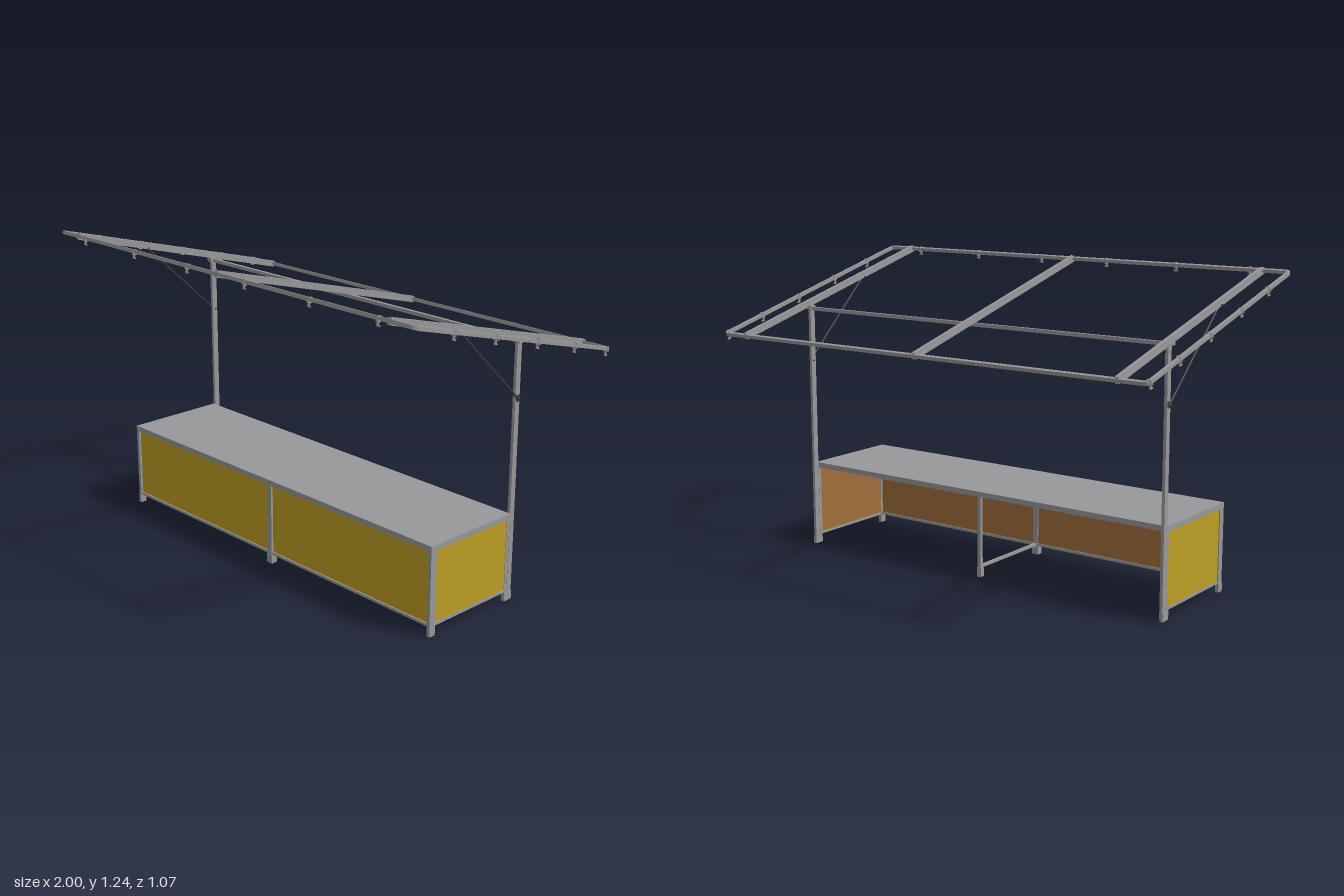
import * as THREE from 'three';

const mat = (name, color) => new THREE.MeshStandardMaterial({ name, color });

export function createModel() {
  const metal = mat('grey metal', 0x98989a);
  const dark = mat('dark steel', 0x3c3c3e);
  const yellow = mat('yellow panel', 0xbc9e25);
  const brown = mat('brown panel back', 0xa06e3a);
  const copper = mat('copper bolt', 0xb0703a);

  const model = new THREE.Group();
  model.name = 'marketStall';

  const add = (parent, name, geometry, material) => {
    const mesh = new THREE.Mesh(geometry, material);
    mesh.name = name;
    parent.add(mesh);
    return mesh;
  };
  // Box given by its limits on each axis
  const box = (parent, name, material, [x0, x1], [y0, y1], [z0, z1]) => {
    const mesh = add(parent, name, new THREE.BoxGeometry(Math.abs(x1 - x0), y1 - y0, z1 - z0), material);
    mesh.position.set((x0 + x1) / 2, (y0 + y1) / 2, (z0 + z1) / 2);
    return mesh;
  };
  // Thin rod between two points
  const rod = (parent, name, material, a, b, radius) => {
    const from = new THREE.Vector3(...a), to = new THREE.Vector3(...b);
    const dir = to.clone().sub(from);
    const mesh = add(parent, name, new THREE.CylinderGeometry(radius, radius, dir.length(), 10), material);
    mesh.position.copy(from).add(to).multiplyScalar(0.5);
    mesh.quaternion.setFromUnitVectors(new THREE.Vector3(0, 1, 0), dir.normalize());
    return mesh;
  };

  // ---- Counter ----
  const counter = new THREE.Group();
  counter.name = 'counter';
  model.add(counter);

  box(counter, 'counterTop', metal, [-0.864, 0.864], [0.346, 0.355], [-0.15, 0.28]);
  box(counter, 'frontTopRail', metal, [-0.86, 0.86], [0.333, 0.346], [0.258, 0.278]);
  box(counter, 'backTopRail', metal, [-0.86, 0.86], [0.333, 0.346], [-0.148, -0.134]);
  box(counter, 'middleTopRail', metal, [-0.86, 0.86], [0.335, 0.346], [0.055, 0.068]);
  box(counter, 'frontBottomRail', metal, [-0.86, 0.86], [0.036, 0.047], [0.258, 0.276]);

  // Middle frame
  box(counter, 'middleFrontLeg', metal, [-0.012, 0.012], [0.015, 0.346], [0.258, 0.279]);
  box(counter, 'middleBackLeg', metal, [-0.008, 0.008], [0.015, 0.346], [-0.134, -0.12]);
  box(counter, 'middleTopBar', metal, [-0.006, 0.006], [0.334, 0.346], [-0.12, 0.258]);
  box(counter, 'middleBottomBar', metal, [-0.006, 0.006], [0.036, 0.047], [-0.12, 0.258]);
  box(counter, 'middleFrontFoot', metal, [-0.015, 0.015], [0, 0.036], [0.255, 0.281]);
  box(counter, 'middleBackFoot', metal, [-0.01, 0.01], [0, 0.036], [-0.136, -0.116]);

  for (const s of [-1, 1]) {
    // Front panel halves, painted outside and brown inside
    box(counter, 'frontPanel', yellow, [s * 0.011, s * 0.854], [0.045, 0.335], [0.266, 0.27]);
    box(counter, 'frontPanelBack', brown, [s * 0.011, s * 0.854], [0.045, 0.335], [0.262, 0.266]);

    // End panels
    box(counter, 'endPanel', yellow, [s * 0.856, s * 0.86], [0.045, 0.335], [-0.14, 0.26]);
    box(counter, 'endPanelBack', brown, [s * 0.852, s * 0.856], [0.045, 0.335], [-0.14, 0.26]);
    box(counter, 'endTopRail', metal, [s * 0.851, s * 0.864], [0.333, 0.346], [-0.15, 0.278]);
    box(counter, 'endBottomRail', metal, [s * 0.851, s * 0.863], [0.036, 0.047], [-0.148, 0.258]);

    // Front corner leg with foot
    box(counter, 'frontLeg', metal, [s * 0.85, s * 0.864], [0.03, 0.346], [0.251, 0.28]);
    box(counter, 'frontFoot', metal, [s * 0.852, s * 0.866], [0, 0.034], [0.253, 0.281]);

    // Back corner leg and tall post
    box(counter, 'backLeg', metal, [s * 0.85, s * 0.862], [0.034, 0.346], [-0.15, -0.136]);
    box(counter, 'backFoot', metal, [s * 0.852, s * 0.866], [0, 0.034], [-0.174, -0.134]);
    box(model, 'post', metal, [s * 0.851, s * 0.863], [0.01, 1.032], [-0.174, -0.15]);
    box(model, 'postCap', metal, [s * 0.849, s * 0.874], [1.014, 1.032], [-0.172, -0.145]);

    // Diagonal brace with its bolts
    rod(model, 'brace', dark, [s * 0.866, 0.8, -0.164], [s * 0.872, 1.122, 0.178], 0.0042);
    rod(model, 'lowerBraceBolt', dark, [s * 0.845, 0.8, -0.163], [s * 0.884, 0.8, -0.163], 0.003);
    rod(model, 'upperBraceBolt', dark, [s * 0.86, 1.124, 0.18], [s * 0.902, 1.124, 0.18], 0.003);
    box(model, 'braceBracket', dark, [s * 0.862, s * 0.866], [0.79, 0.815], [-0.172, -0.155]);
  }

  box(model, 'crossBeam', metal, [-0.852, 0.852], [1.012, 1.026], [-0.17, -0.156]);

  // ---- Sloping roof frame, built flat and then tilted ----
  const roof = new THREE.Group();
  roof.name = 'roofFrame';
  roof.position.set(0, 1.083, -0.003);
  roof.rotation.x = -0.264;
  model.add(roof);

  const W = 0.995, L = 0.547, T = 0.014;
  const roundedRect = (path, w, l, r) => {
    path.moveTo(-w + r, -l);
    path.lineTo(w - r, -l);
    path.absarc(w - r, -l + r, r, -Math.PI / 2, 0);
    path.lineTo(w, l - r);
    path.absarc(w - r, l - r, r, 0, Math.PI / 2);
    path.lineTo(-w + r, l);
    path.absarc(-w + r, l - r, r, Math.PI / 2, Math.PI);
    path.lineTo(-w, -l + r);
    path.absarc(-w + r, -l + r, r, Math.PI, Math.PI * 1.5);
    return path;
  };
  const outline = roundedRect(new THREE.Shape(), W, L, 0.026);
  outline.holes.push(roundedRect(new THREE.Path(), W - T, L - T, 0.012));
  const rim = new THREE.ExtrudeGeometry(outline, { depth: T, bevelEnabled: false, curveSegments: 6 });
  rim.translate(0, 0, -T / 2).rotateX(-Math.PI / 2);
  add(roof, 'outerRim', rim, metal);

  // Rafters with a slot along each side
  const w = 0.008, h = 0.013, d = 0.005, g = 0.003;
  const section = new THREE.Shape([
    [-w, -h], [w, -h], [w, -g], [w - d, -g], [w - d, g], [w, g],
    [w, h], [-w, h], [-w, g], [-w + d, g], [-w + d, -g], [-w, -g],
  ].map(([x, y]) => new THREE.Vector2(x, y)));
  const rafterLength = 2 * (L - 0.004);
  const rafter = new THREE.ExtrudeGeometry(section, { depth: rafterLength, bevelEnabled: false });
  rafter.translate(0, 0, -rafterLength / 2);
  for (const x of [-0.872, 0, 0.872]) add(roof, 'rafter', rafter, metal).position.x = x;

  // Small hanging hooks under the front and side rails
  const hook = (x, z, turn) => {
    const group = new THREE.Group();
    group.name = 'hook';
    group.position.set(x, 0, z);
    group.rotation.y = turn;
    roof.add(group);
    box(group, 'hookClamp', metal, [-0.005, 0.005], [-0.012, 0.009], [-0.009, 0.009]);
    box(group, 'hookStem', metal, [-0.004, 0.004], [-0.027, -0.012], [-0.003, 0.003]);
    box(group, 'hookTip', metal, [-0.003, 0.011], [-0.027, -0.022], [-0.003, 0.003]);
    rod(group, 'hookBolt', copper, [0, -0.008, -0.004], [0, -0.008, 0.012], 0.003);
  };
  for (const x of [-0.82, -0.495, -0.168, 0.158, 0.495, 0.822]) hook(x, L - T / 2, 0);
  for (const s of [-1, 1])
    for (const z of [0.35, 0.13, -0.105, -0.327, -0.526]) hook(s * (W - T / 2), z, s * Math.PI / 2);

  return model;
}
